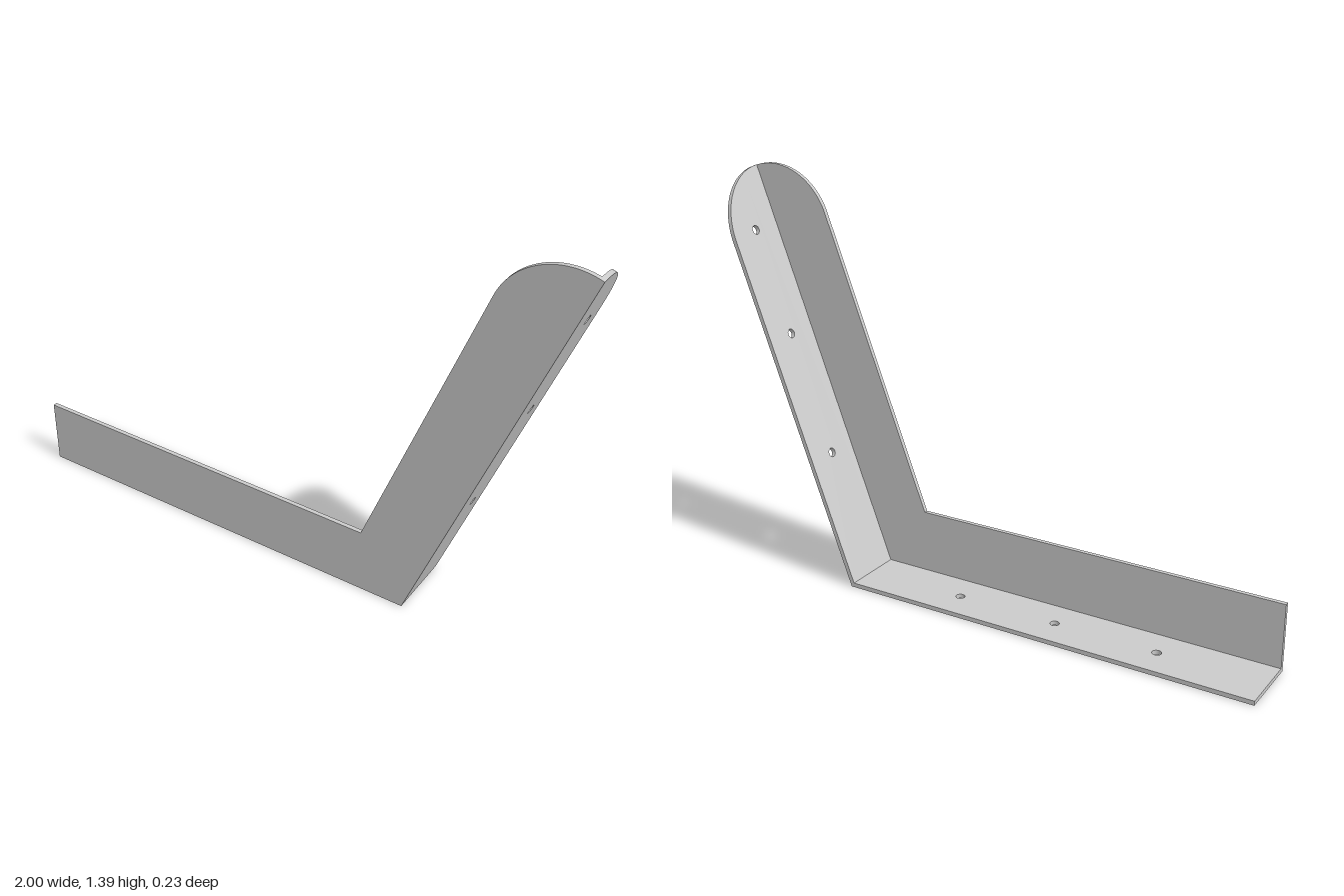
import * as THREE from 'three';

const T = 0.015;               // sheet thickness
const W = 0.234;               // leg width
const HALF = W / 2;
const CORNER = 0.47;           // x of the outer bend
const ANGLE = Math.atan2(1.375, 0.53);
const STRAIGHT = 1.24;         // arm length up to the rounded end
const HOLE_R = 0.0155;

const material = new THREE.MeshStandardMaterial({ color: 0xcccccc });

function sheet(shape, name) {
  const geometry = new THREE.ExtrudeGeometry(shape, { depth: T, bevelEnabled: false, curveSegments: 32 });
  const mesh = new THREE.Mesh(geometry, material);
  mesh.name = name;
  return mesh;
}

// Flange outline: x runs along the leg, y runs towards the back
function flange(name, start, end, rounded, holes) {
  const front = T - HALF, back = HALF;
  const shape = new THREE.Shape();
  shape.moveTo(start, back);
  shape.lineTo(start, front);
  if (rounded) {
    shape.absarc(end, -HALF, W, Math.asin(T / W), Math.PI / 2, false);
  } else {
    shape.lineTo(end, front);
    shape.lineTo(end, back);
  }
  shape.closePath();
  for (const x of holes) {
    const hole = new THREE.Path();
    hole.absarc(x, (front + back) / 2, HOLE_R, 0, Math.PI * 2, true);
    shape.holes.push(hole);
  }
  const mesh = sheet(shape, name);
  mesh.geometry.rotateX(-Math.PI / 2);
  return mesh;
}

export function createModel() {
  const group = new THREE.Group();
  group.name = 'angleBracket';
  const c = Math.cos(ANGLE), s = Math.sin(ANGLE);

  // Upright bent plate with a quarter-round tip
  const inner = (W - W * c) / s; // distance along the arm of the inner bend
  const outline = new THREE.Shape();
  outline.moveTo(-1, 0);
  outline.lineTo(CORNER, 0);
  outline.absarc(CORNER + STRAIGHT * c, STRAIGHT * s, W, ANGLE, ANGLE + Math.PI / 2, false);
  outline.lineTo(CORNER + inner * c - W * s, W);
  outline.lineTo(-1, W);
  outline.closePath();
  const plate = sheet(outline, 'frontPlate');
  plate.position.z = HALF - T;
  group.add(plate);

  // Horizontal flange
  group.add(flange('baseFlange', -1, CORNER, false, [-0.634, -0.27, 0.094]));

  // Sloping flange with a rounded end
  const arm = flange('armFlange', 0, STRAIGHT, true, [0.455, 0.89, 1.26]);
  arm.position.x = CORNER;
  arm.rotation.z = ANGLE;
  group.add(arm);

  return group;
}
